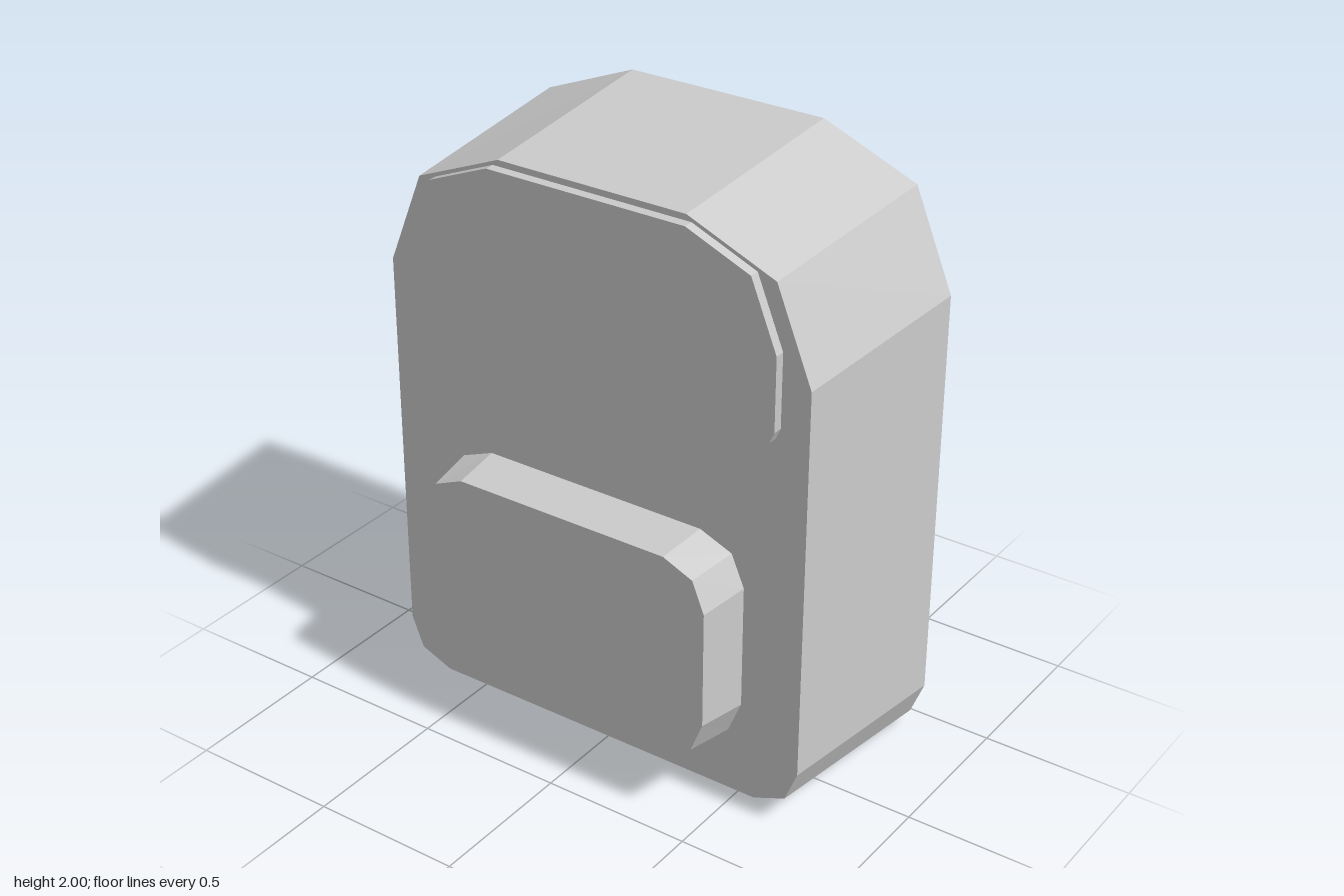
import * as THREE from 'three';

// Full convex outline (counter-clockwise from the front) from its +x half, bottom to top
function mirrorOutline(half) {
  return [...half, ...half.map(([x, y]) => [-x, y]).reverse()];
}

// Closed tapered prism between a back outline and a front outline
function taperedPrism(backHalf, frontHalf, zBack, zFront) {
  const back = mirrorOutline(backHalf).map(([x, y]) => [x, y, zBack]);
  const front = mirrorOutline(frontHalf).map(([x, y]) => [x, y, zFront]);
  const n = back.length;
  const positions = [];
  const tri = (a, b, c) => positions.push(...a, ...b, ...c);
  for (let i = 0; i < n; i++) {
    const j = (i + 1) % n;
    tri(back[i], back[j], front[j]);
    tri(back[i], front[j], front[i]);
  }
  for (let i = 1; i < n - 1; i++) {
    tri(front[0], front[i], front[i + 1]);
    tri(back[0], back[i + 1], back[i]);
  }
  const geometry = new THREE.BufferGeometry();
  geometry.setAttribute('position', new THREE.Float32BufferAttribute(positions, 3));
  geometry.computeVertexNormals();
  return geometry;
}

export function createModel() {
  const group = new THREE.Group();
  group.name = 'backpack';

  const fabric = new THREE.MeshStandardMaterial({ color: 0xcccccc });
  fabric.name = 'light grey fabric';
  fabric.flatShading = true;

  const addPart = (name, back, front, zBack, zFront) => {
    const mesh = new THREE.Mesh(taperedPrism(back, front, zBack, zFront), fabric);
    mesh.name = name;
    group.add(mesh);
  };

  // Main bag, narrowing toward the front
  addPart('body',
    [[0.64, 0], [0.755, 0.05], [0.8, 0.165], [0.8, 1.55], [0.667, 1.87], [0.345, 2]],
    [[0.6, 0.06], [0.71, 0.105], [0.752, 0.21], [0.752, 1.515], [0.63, 1.817], [0.33, 1.94]],
    -0.43, 0.26);

  // Thin straight-sided panel near the top
  const panel = [[0.61, 1.32], [0.64, 1.333], [0.656, 1.37], [0.656, 1.61], [0.567, 1.83], [0.348, 1.92]];
  addPart('upperPanel', panel, panel, 0.255, 0.293);

  // Lower front pocket
  addPart('frontPocket',
    [[0.39, 0.23], [0.502, 0.275], [0.547, 0.385], [0.547, 0.8], [0.502, 0.905], [0.39, 0.95]],
    [[0.375, 0.247], [0.478, 0.29], [0.52, 0.395], [0.52, 0.787], [0.478, 0.89], [0.375, 0.934]],
    0.255, 0.43);

  return group;
}
